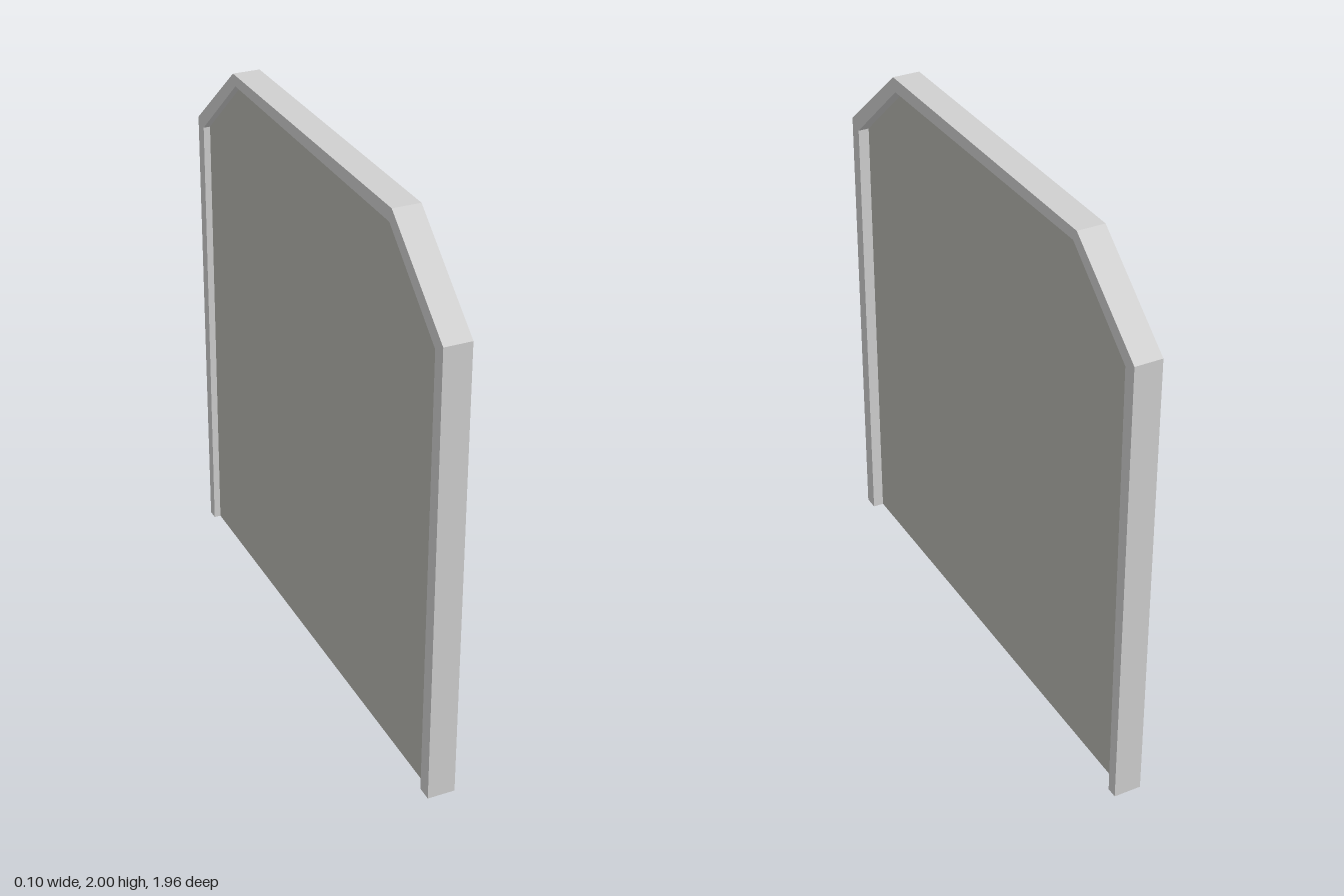
import * as THREE from 'three';

// Outlines as [z, y] points, running from the front foot to the back foot
const OUTER = [[0.975, 0], [0.98, 1.7], [0.625, 2], [-0.63, 2], [-0.98, 1.715], [-0.975, 0]];
const INNER = [[0.92, 0], [0.93, 1.67], [0.61, 1.95], [-0.61, 1.96], [-0.93, 1.69], [-0.935, 0]];

// Extrude a [z, y] outline sideways between two x positions
function slab(name, points, xMin, xMax, material) {
  const shape = new THREE.Shape(points.map(([z, y]) => new THREE.Vector2(z, y)));
  const geometry = new THREE.ExtrudeGeometry(shape, { depth: xMax - xMin, bevelEnabled: false });
  geometry.rotateY(-Math.PI / 2);
  geometry.translate(xMax, 0, 0);
  const mesh = new THREE.Mesh(geometry, material);
  mesh.name = name;
  return mesh;
}

export function createModel() {
  const frameGrey = new THREE.MeshStandardMaterial({ color: 0xd0d0d0 });
  frameGrey.name = 'frame light grey';
  const panelGrey = new THREE.MeshStandardMaterial({ color: 0xb5b5af });
  panelGrey.name = 'panel warm grey';

  const group = new THREE.Group();
  group.name = 'framedPanel';
  // Arch-shaped frame, open at the floor
  group.add(slab('frame', [...OUTER, ...[...INNER].reverse()], -0.05, 0.05, frameGrey));
  // Thin panel recessed on both sides of the frame
  group.add(slab('panel', INNER, -0.025, 0.01, panelGrey));
  return group;
}
